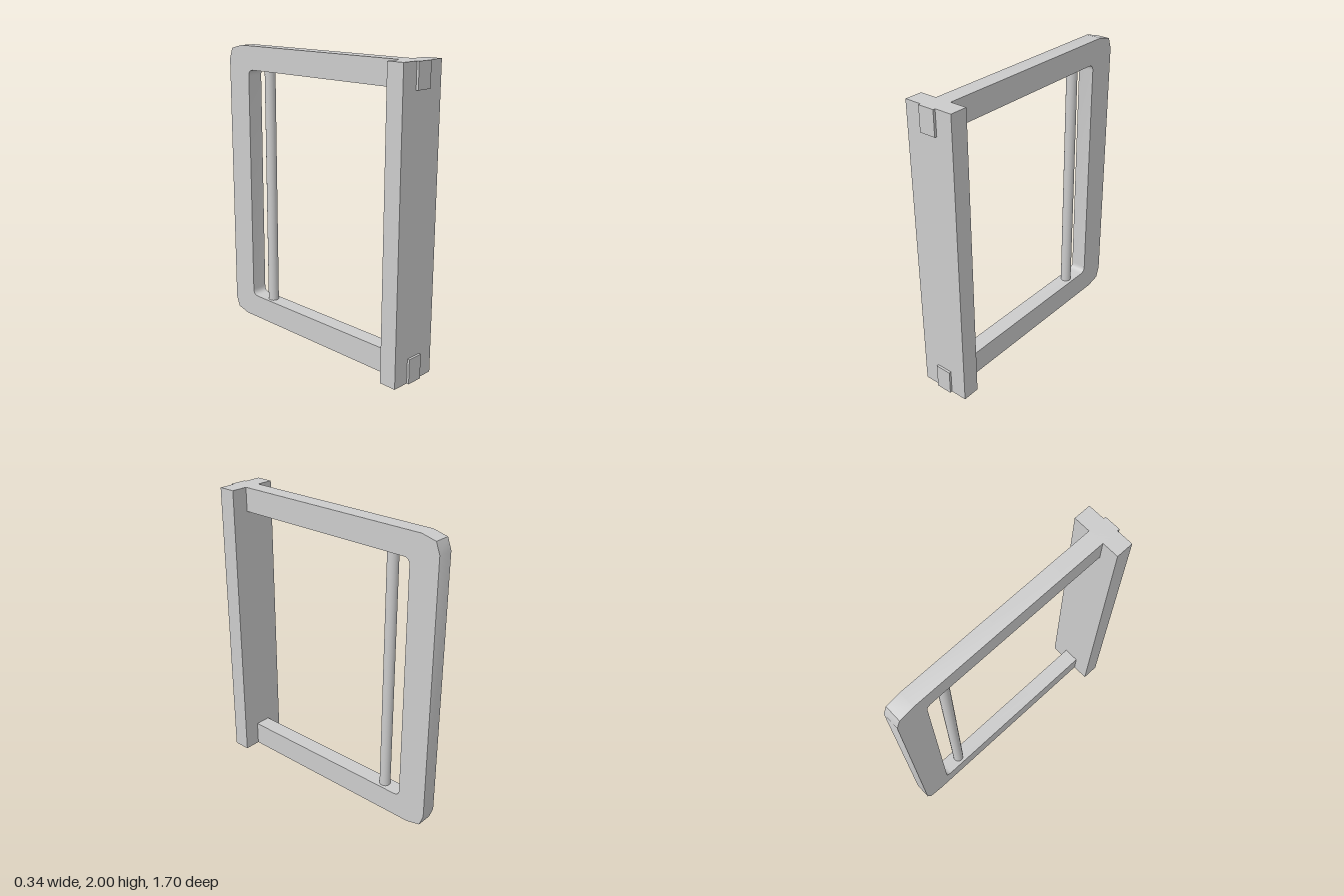
import * as THREE from 'three';
import { toCreasedNormals } from 'three/addons/utils/BufferGeometryUtils.js';

const material = new THREE.MeshStandardMaterial({ color: 0xcccccc });

function addPart(group, name, geometry, x = 0, y = 0, z = 0) {
  const mesh = new THREE.Mesh(geometry, material);
  mesh.name = name;
  mesh.position.set(x, y, z);
  group.add(mesh);
}

// C-shaped frame: two arms joined by a back bar, profile drawn as (-z, y)
function frameGeometry() {
  const width = 0.112, front = -0.85, inner = 0.645, low = 0.168, high = 1.836, r = 0.045;
  const corner = [[0.72, 0], [0.82, 0.025], [0.848, 0.1]];
  const shape = new THREE.Shape();
  shape.moveTo(front, 0);
  corner.forEach(([u, v]) => shape.lineTo(u, v));
  [...corner].reverse().forEach(([u, v]) => shape.lineTo(u, 2 - v));
  shape.lineTo(front, 2);
  shape.lineTo(front, high);
  shape.lineTo(inner - r, high);
  shape.quadraticCurveTo(inner, high, inner, high - r);
  shape.lineTo(inner, low + r);
  shape.quadraticCurveTo(inner, low, inner - r, low);
  shape.lineTo(front, low);
  shape.closePath();
  const geometry = new THREE.ExtrudeGeometry(shape, { depth: width, bevelEnabled: false, curveSegments: 6 });
  geometry.translate(0, 0, -width / 2);
  geometry.rotateY(Math.PI / 2);
  return toCreasedNormals(geometry, 0.6);
}

export function createModel() {
  const group = new THREE.Group();
  group.name = 'handleFrame';
  addPart(group, 'frame', frameGeometry());
  // Front plate, with the arm ends showing slightly through it
  addPart(group, 'frontPlate', new THREE.BoxGeometry(0.344, 2, 0.12), 0, 1, 0.774);
  // Thin upright rod between the arms, near the back bar
  addPart(group, 'rod', new THREE.CylinderGeometry(0.037, 0.037, 1.7, 24), 0, 1.002, -0.484);
  return group;
}
